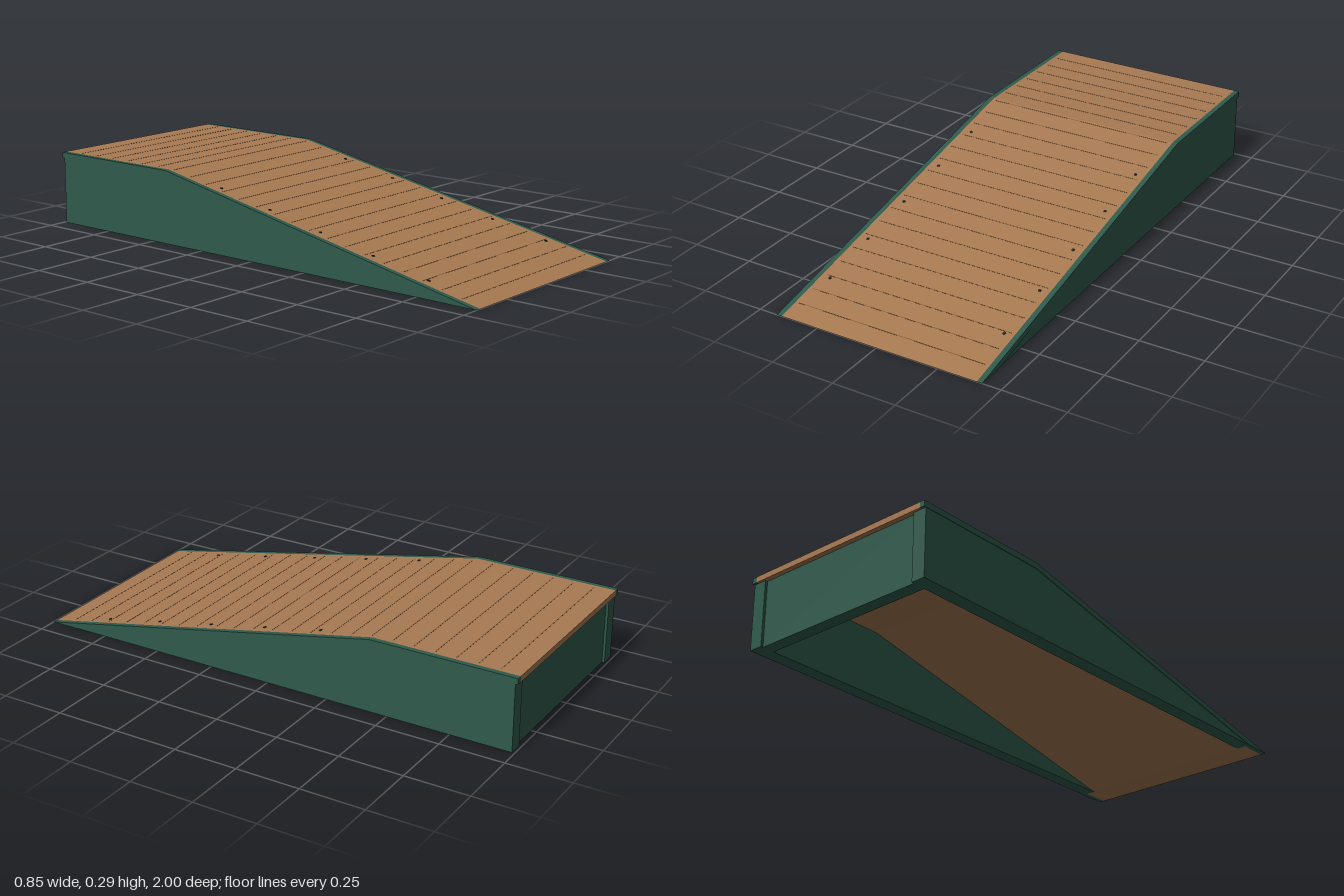
import * as THREE from 'three';

const TOP = 0.285, CREST = -0.43, SKIN = 0.023;
const SLOPE = TOP / (1 - CREST);
const wood = new THREE.MeshStandardMaterial({ color: 0xa87a52 });
const seamWood = new THREE.MeshStandardMaterial({ color: 0x7a5638 });
const green = new THREE.MeshStandardMaterial({ color: 0x2f5a4c });
const dark = new THREE.MeshStandardMaterial({ color: 0x2a2a2a });

// Height of the riding surface at a given z
const surfaceY = (z) => Math.min(TOP, (1 - z) * SLOPE);

// Extrudes a side profile of [z, y] points from x0 to x1
function profile(name, points, x0, x1, material) {
  const shape = new THREE.Shape(points.map(([z, y]) => new THREE.Vector2(-z, y)));
  const geo = new THREE.ExtrudeGeometry(shape, { depth: x1 - x0, bevelEnabled: false });
  geo.rotateY(Math.PI / 2).translate(x0, 0, 0);
  const mesh = new THREE.Mesh(geo, material);
  mesh.name = name;
  return mesh;
}

// Places a small part on the surface, tilted with it
function onSurface(name, geometry, material, x, z) {
  const mesh = new THREE.Mesh(geometry, material);
  mesh.name = name;
  mesh.position.set(x, surfaceY(z), z);
  if (z > CREST) mesh.rotation.x = Math.atan(SLOPE);
  return mesh;
}

export function createModel() {
  const ramp = new THREE.Group();
  ramp.name = 'ramp';
  const low = TOP - SKIN;
  const toe = 1 - SKIN / SLOPE;

  // Thin deck skin: slope and flat platform, cut level at the toe
  const skin = [[1, 0], [CREST, TOP], [-1, TOP], [-1, low], [CREST, low], [toe, 0]];
  ramp.add(profile('deck', skin, -0.405, 0.405, wood));

  // Edge trims and supporting side walls
  const wall = [[toe, 0], [CREST, low], [-0.99, low], [-0.99, 0]];
  for (const s of [-1, 1]) {
    const span = (a, b) => (s > 0 ? [a, b] : [-b, -a]);
    ramp.add(profile('edgeTrim', skin, ...span(0.405, 0.426), green));
    ramp.add(profile('sideWall', wall, ...span(0.368, 0.424), green));
  }

  // Back panel, set in slightly between the walls
  const back = new THREE.Mesh(new THREE.BoxGeometry(0.736, low, 0.05), green);
  back.name = 'backPanel';
  back.position.set(0, low / 2, -0.955);
  ramp.add(back);

  // Fine seams between the boards
  const seam = new THREE.BoxGeometry(0.78, 0.001, 0.003);
  for (let i = 0; i < 23; i++) {
    ramp.add(onSurface('boardSeam', seam, seamWood, 0, -0.92 + i * 0.0835));
  }

  // Screw heads along both edges of the slope
  const screw = new THREE.CylinderGeometry(0.006, 0.006, 0.004, 10);
  for (let i = 0; i < 5; i++) {
    for (const x of [-0.367, 0.367]) {
      ramp.add(onSurface('screw', screw, dark, x, -0.195 + i * 0.239));
    }
  }
  return ramp;
}
